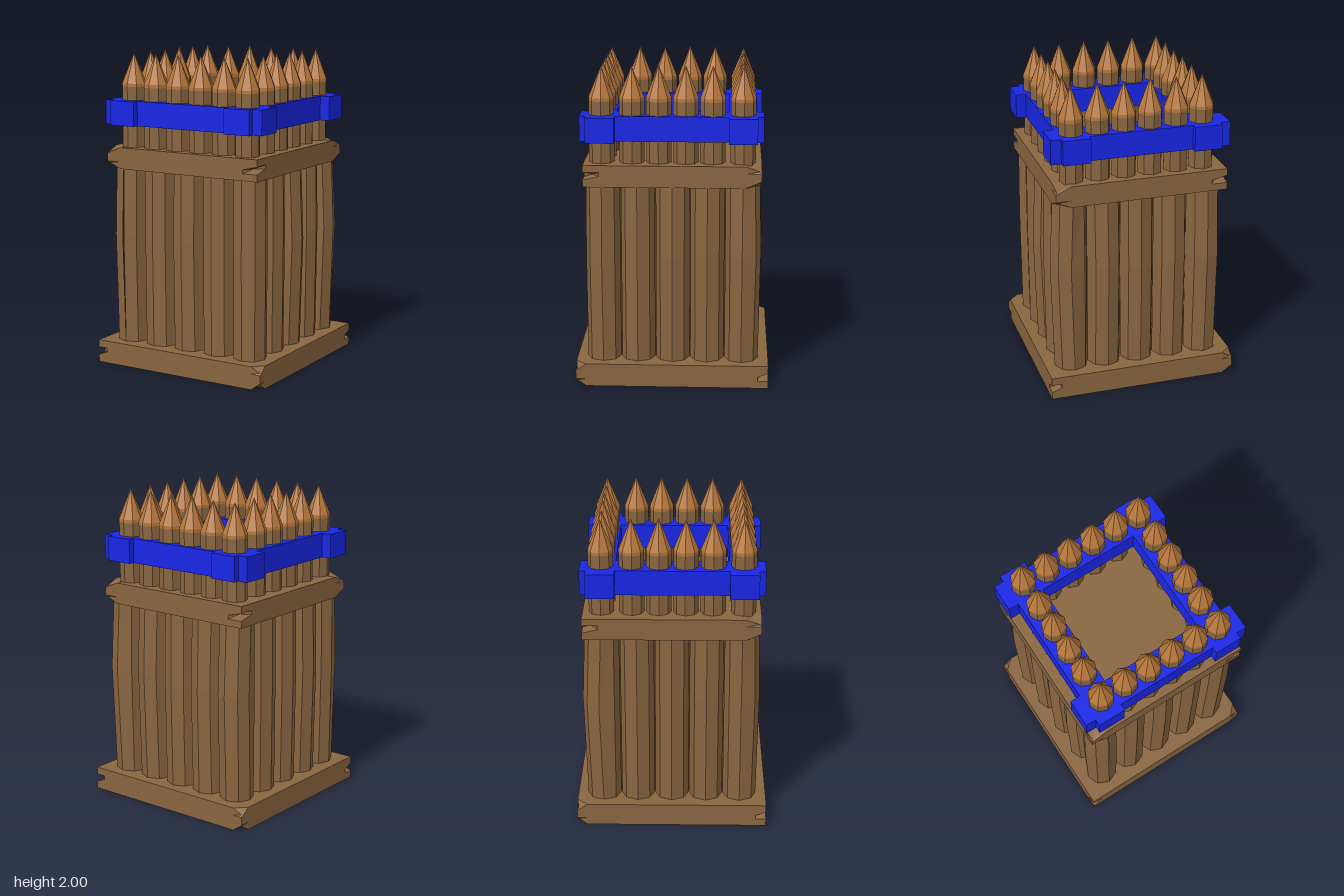
import * as THREE from 'three';

const mat = (name, color) => Object.assign(new THREE.MeshStandardMaterial({ color }), { name });

// Unshared vertices give hard facets
function flat(geo) {
  const g = geo.index ? geo.toNonIndexed() : geo;
  g.computeVertexNormals();
  return g;
}

// Square slab whose corners are either notched at mid height or chipped above and below
function slabGeometry(half, thick, cut, isNotched, openBottom) {
  const g = new THREE.BoxGeometry(half * 2, thick, half * 2, 3, 4, 3);
  const p = g.attributes.position;
  for (let i = 0; i < p.count; i++) {
    const sx = Math.sign(p.getX(i)), sz = Math.sign(p.getZ(i));
    const cornerX = Math.abs(p.getX(i)) > half * 0.9;
    const cornerZ = Math.abs(p.getZ(i)) > half * 0.9;
    let x = sx * (cornerX ? half : half - cut);
    let z = sz * (cornerZ ? half : half - cut);
    let y = p.getY(i);
    const middle = Math.abs(y) < 0.001, end = Math.abs(y) > thick * 0.49;
    if (!end) y *= 0.7;
    if (cornerX && cornerZ) {
      if (isNotched(sx, sz) && middle) { x -= sx * 0.06; z -= sz * 0.06; }
      if (!isNotched(sx, sz) && end) { y *= 0.52; x -= sx * 0.01; z -= sz * 0.01; }
    }
    p.setXYZ(i, x, y, z);
  }
  if (openBottom) {
    const index = Array.from(g.index.array);
    index.splice(g.groups[3].start + 24, 6); // centre cell of the underside
    g.setIndex(index);
    g.clearGroups();
  }
  return flat(g);
}

// Positions of n posts per side around a square
function ring(n, r) {
  const spots = [];
  for (let i = 0; i < n; i++) for (let j = 0; j < n; j++) {
    if (i % (n - 1) && j % (n - 1)) continue;
    spots.push([-r + (2 * r * i) / (n - 1), -r + (2 * r * j) / (n - 1)]);
  }
  return spots;
}

export function createModel() {
  const wood = mat('wood', 0x896640);
  const cutWood = mat('cutWood', 0xb8783d);
  const blue = mat('bluePaint', 0x1826e6);
  const model = new THREE.Group();
  model.name = 'palisadeTower';
  const add = (name, geo, material, x = 0, y = 0, z = 0, parent = model) => {
    const m = new THREE.Mesh(geo, material);
    m.name = name;
    m.position.set(x, y, z);
    parent.add(m);
    return m;
  };
  const group = (name) => {
    const g = new THREE.Group();
    g.name = name;
    model.add(g);
    return g;
  };
  let seed = 7;
  const random = () => (seed = (seed * 16807) % 2147483647) / 2147483647;

  // Base slab, with log sockets and a central recess underneath
  const logSpots = ring(5, 0.43), logR = 0.105, socketR = 0.1, recess = 0.08;
  add('baseSlab', slabGeometry(0.6, 0.145, 0.065, (x, z) => x !== z, true), wood, 0, 0.0725);
  const square = (r) => [[-r, -r], [r, -r], [r, r], [-r, r]].map(([x, y]) => new THREE.Vector2(x, y));
  const under = new THREE.Shape(square(0.535));
  under.holes.push(new THREE.Path(square(0.315)));
  for (const [x, z] of logSpots) {
    const pts = [];
    for (let k = 0; k < 8; k++) {
      const a = (k * Math.PI) / 4;
      pts.push(new THREE.Vector2(x + socketR * Math.cos(a), z + socketR * Math.sin(a)));
    }
    under.holes.push(new THREE.Path(pts));
  }
  const underGeo = new THREE.ExtrudeGeometry(under, { depth: recess, bevelEnabled: false });
  underGeo.rotateX(Math.PI / 2).translate(0, recess, 0);
  add('baseUnderside', underGeo, wood);

  // Solid core behind the logs
  add('core', new THREE.BoxGeometry(0.82, 1.22, 0.82), wood, 0, recess + 0.61, 0);

  // Wall logs standing edge to edge, bowed outward at mid height
  const walls = group('wallLogs');
  const logH = 1.24;
  const bow = (v) => (Math.abs(v) > 0.42 ? Math.sign(v) * (0.004 + 0.022 * random() ** 3) : 0);
  for (const [x, z] of logSpots) {
    const g = new THREE.CylinderGeometry(logR, logR, logH, 8, 2);
    const p = g.attributes.position;
    const dx = bow(x), dz = bow(z), dy = 0.1 + 0.06 * random();
    for (let i = 0; i < p.count; i++) {
      if (Math.abs(p.getY(i)) > 0.01) continue;
      const px = p.getX(i), pz = p.getZ(i);
      p.setXYZ(i, px + (px * dx > 0 ? dx : 0), dy, pz + (pz * dz > 0 ? dz : 0));
    }
    add('wallLog', flat(g), wood, x, recess - 0.004 + logH / 2, z, walls);
  }

  // Upper platform
  add('platform', slabGeometry(0.545, 0.135, 0.1, (x, z) => x === z, false), wood, -0.005, 1.3325);

  // Sharpened stakes
  const stakes = group('stakes');
  const r = 0.077;
  for (const [x, z] of ring(6, 0.412)) {
    const zz = (Math.abs(z) > 0.4 ? z * 1.05 : z) + 0.003;
    const turn = (random() - 0.5) * 0.15;
    const shaft = add('stakeShaft', flat(new THREE.CylinderGeometry(r, r, 0.4, 8)), wood, x, 1.58, zz, stakes);
    const tipH = 1.985 + 0.015 * random();
    const profile = [[r, 1.78], [r, 1.8], [0.0, tipH]].map(([a, b]) => new THREE.Vector2(a, b));
    const tip = add('stakeTip', flat(new THREE.LatheGeometry(profile, 8)), cutWood, x, 0, zz, stakes);
    shaft.rotation.y = tip.rotation.y = turn;
  }

  // Blue crossed beams binding the stakes
  const band = group('blueBand');
  for (const s of [-1, 1]) {
    add('bandBeam', new THREE.BoxGeometry(1.13, 0.155, 0.175), blue, -0.005, 1.6175, s * 0.433 + 0.004, band);
    add('bandSideBeam', new THREE.BoxGeometry(0.175, 0.155, 1.12), blue, s * 0.413 - 0.005, 1.6175, 0.005, band);
  }
  return model;
}
